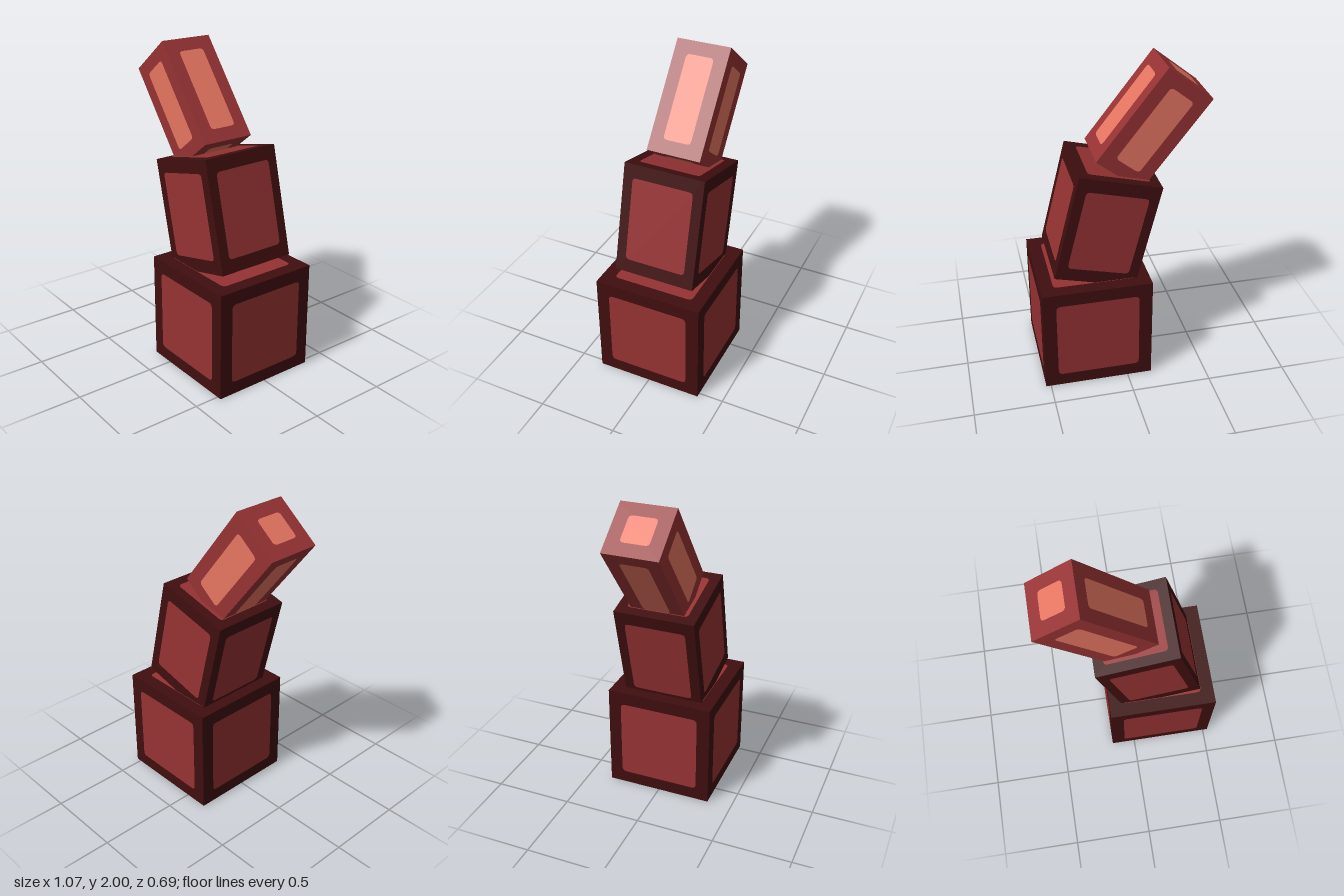
import * as THREE from 'three';

const mat = (name, color) => {
  const m = new THREE.MeshStandardMaterial({ color });
  m.name = name;
  return m;
};

// Flat rectangle with rounded corners
function panelGeometry(w, h, r) {
  const x = w / 2, y = h / 2;
  const s = new THREE.Shape();
  s.moveTo(-x + r, -y);
  s.lineTo(x - r, -y);
  s.quadraticCurveTo(x, -y, x, -y + r);
  s.lineTo(x, y - r);
  s.quadraticCurveTo(x, y, x - r, y);
  s.lineTo(-x + r, y);
  s.quadraticCurveTo(-x, y, -x, y - r);
  s.lineTo(-x, -y + r);
  s.quadraticCurveTo(-x, -y, -x + r, -y);
  return new THREE.ShapeGeometry(s, 4);
}

// Block with an inset-looking panel on each of its six faces
function block(name, { width, height, depth, marginX, marginY, radius, frame, panel }) {
  const g = new THREE.Group();
  g.name = name;
  const body = new THREE.Mesh(new THREE.BoxGeometry(width, height, depth), frame);
  body.name = name + 'Body';
  g.add(body);

  const H = Math.PI / 2, gap = 0.002;
  const addPanel = (side, w, h, my, rx, ry, distance) => {
    const p = new THREE.Mesh(panelGeometry(w - 2 * marginX, h - 2 * my, radius), panel);
    p.name = name + side + 'Panel';
    p.rotation.set(rx, ry, 0);
    p.translateZ(distance + gap);
    g.add(p);
  };
  addPanel('Front', width, height, marginY, 0, 0, depth / 2);
  addPanel('Back', width, height, marginY, 0, Math.PI, depth / 2);
  addPanel('Left', depth, height, marginY, 0, H, width / 2);
  addPanel('Right', depth, height, marginY, 0, -H, width / 2);
  addPanel('Top', width, depth, marginX, -H, 0, height / 2);
  addPanel('Bottom', width, depth, marginX, H, 0, height / 2);
  return g;
}

export function createModel() {
  const dark = mat('darkMaroon', 0x400e0f);
  const red = mat('brickRed', 0x963233);
  const salmon = mat('salmon', 0xe67561);
  const model = new THREE.Group();
  model.name = 'bentSegmentStack';

  // Upright base cube
  const base = block('baseSegment', {
    width: 0.686, height: 0.686, depth: 0.686,
    marginX: 0.083, marginY: 0.083, radius: 0.03, frame: dark, panel: red,
  });
  base.position.set(0.188, 0.343, 0);

  // Leaning middle segment
  const middle = block('middleSegment', {
    width: 0.514, height: 0.686, depth: 0.514,
    marginX: 0.062, marginY: 0.083, radius: 0.026, frame: dark, panel: red,
  });
  middle.position.set(0.105, 1.021, 0);
  middle.rotation.z = THREE.MathUtils.degToRad(14);

  // Strongly tilted tip
  const tip = block('tipSegment', {
    width: 0.343, height: 0.686, depth: 0.343,
    marginX: 0.084, marginY: 0.083, radius: 0.025, frame: red, panel: salmon,
  });
  tip.position.set(-0.19, 1.624, 0);
  tip.rotation.z = THREE.MathUtils.degToRad(38);

  model.add(base, middle, tip);
  return model;
}
